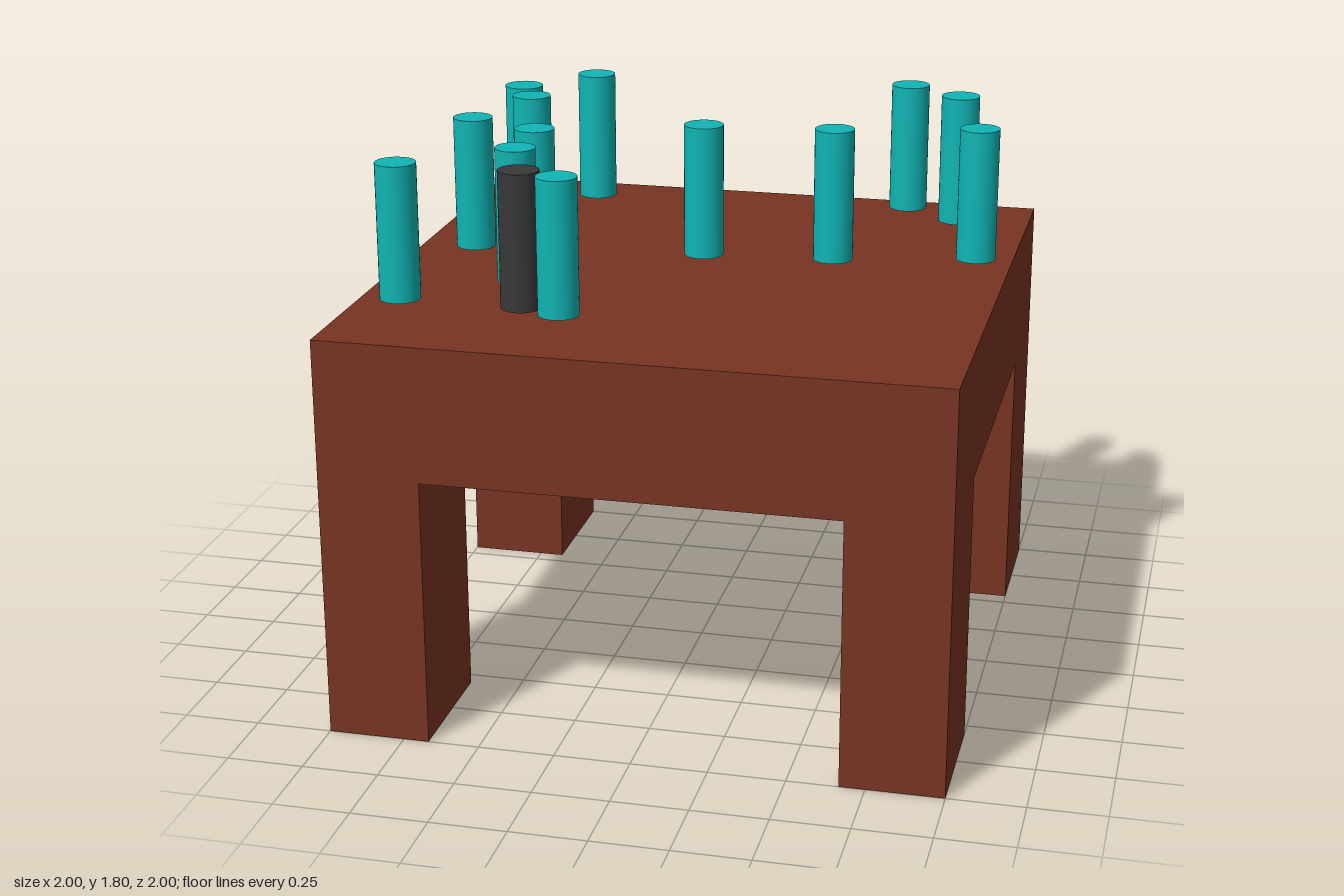
import * as THREE from 'three';

export function createModel() {
  const model = new THREE.Group();
  model.name = 'pegTable';
  const brown = new THREE.MeshStandardMaterial({ color: 0x773422 });
  const teal = new THREE.MeshStandardMaterial({ color: 0x10b4b4 });
  const dark = new THREE.MeshStandardMaterial({ color: 0x383838 });

  const add = (name, geometry, material, x, y, z) => {
    const mesh = new THREE.Mesh(geometry, material);
    mesh.name = name;
    mesh.position.set(x, y, z);
    model.add(mesh);
  };

  // Thick square top
  const legTop = 0.889, tableTop = 1.333;
  add('tableTop', new THREE.BoxGeometry(2, tableTop - legTop, 2), brown,
    0, (tableTop + legTop) / 2, 0);

  // Four corner legs, deeper than wide
  const legW = 0.333, legD = 0.444;
  const legGeometry = new THREE.BoxGeometry(legW, legTop, legD);
  for (const sx of [-1, 1]) {
    for (const sz of [-1, 1]) {
      add(`${sz > 0 ? 'front' : 'back'}${sx > 0 ? 'Left' : 'Right'}Leg`, legGeometry, brown,
        sx * (1 - legW / 2), legTop / 2, sz * (1 - legD / 2));
    }
  }

  // Upright pegs scattered just above the top, as [x, z]
  const pegBottom = 1.36, pegTop = 1.805;
  const pegY = (pegBottom + pegTop) / 2;
  const pegGeometry = new THREE.CylinderGeometry(0.066, 0.066, pegTop - pegBottom, 32);
  const pegs = [
    [-0.56, -0.75], [-0.76, -0.515], [-0.69, -0.37], [0.565, -0.83], [0.76, -0.695],
    [0.885, -0.24], [0.42, -0.13], [-0.013, -0.09], [-0.79, -0.018], [-0.545, 0.085],
    [-0.533, 0.345], [-0.843, 0.61], [-0.305, 0.66],
  ];
  pegs.forEach(([x, z], i) => add(`peg${i + 1}`, pegGeometry, teal, x, pegY, z));
  add('darkPeg', pegGeometry, dark, -0.44, pegY, 0.615);

  return model;
}
